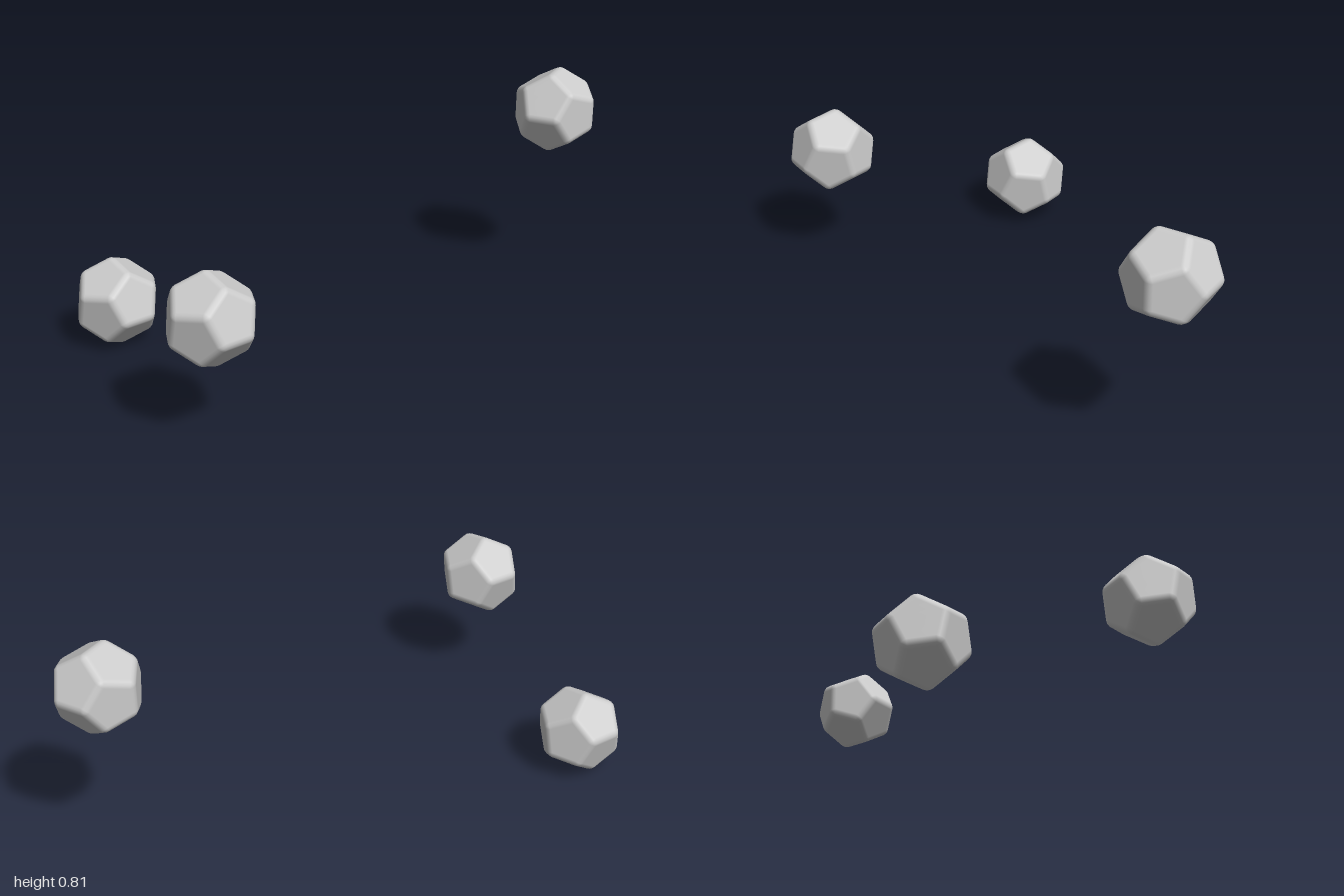
import * as THREE from 'three';
import { mergeVertices } from 'three/addons/utils/BufferGeometryUtils.js';

const PHI = (1 + Math.sqrt(5)) / 2;

// The three cyclic shifts of (0, ±a, ±b)
function cyclic(a, b) {
  const out = [];
  for (const s of [1, -1]) for (const t of [1, -1]) {
    const p = [0, s * a, t * b];
    for (let k = 0; k < 3; k++) out.push(new THREE.Vector3(p[k], p[(k + 1) % 3], p[(k + 2) % 3]));
  }
  return out;
}

// Dodecahedron with rounded edges: every point is a point on a smaller
// dodecahedron pushed out along the normal by the rounding radius.
function roundedDodecahedron(radius, round, segments) {
  const normals = cyclic(1, PHI).map(n => n.normalize());
  const corners = cyclic(PHI, 1 / PHI);
  for (const x of [1, -1]) for (const y of [1, -1]) for (const z of [1, -1]) corners.push(new THREE.Vector3(x, y, z));
  const inradius = 0.79465;
  const inner = radius - round / inradius;
  corners.forEach(c => c.setLength(inner));
  const onFace = (c, n) => c.dot(n) > inner * inradius * 0.98;

  const positions = [], norms = [];
  // Triangle of [corner, normal] pairs, subdivided with both interpolated
  function patch(a, b, c) {
    const pt = ([v, n]) => v.clone().addScaledVector(n, round);
    const face = pt(b).sub(pt(a)).cross(pt(c).sub(pt(a)));
    if (face.dot(a[1].clone().add(b[1]).add(c[1])) < 0) [b, c] = [c, b];
    const put = (i, j) => {
      const w = [1 - (i + j) / segments, i / segments, j / segments];
      const v = new THREE.Vector3(), n = new THREE.Vector3();
      [a, b, c].forEach((q, k) => { v.addScaledVector(q[0], w[k]); n.addScaledVector(q[1], w[k]); });
      n.normalize();
      v.addScaledVector(n, round);
      positions.push(v.x, v.y, v.z);
      norms.push(n.x, n.y, n.z);
    };
    for (let i = 0; i < segments; i++) for (let j = 0; j < segments - i; j++) {
      put(i, j); put(i + 1, j); put(i, j + 1);
      if (i + j < segments - 1) { put(i + 1, j); put(i + 1, j + 1); put(i, j + 1); }
    }
  }

  // Edges with the flat face wedges on both sides of them
  normals.forEach((n, i) => normals.slice(i + 1).forEach(m => {
    const shared = corners.filter(c => onFace(c, n) && onFace(c, m));
    if (shared.length !== 2) return;
    const [p, q] = shared;
    patch([p, n], [q, n], [q, m]);
    patch([p, n], [q, m], [p, m]);
    for (const f of [n, m]) patch([p, f], [q, f], [f.clone().multiplyScalar(inner * inradius), f]);
  }));
  // Rounded corners
  corners.forEach(c => {
    const [l, m, n] = normals.filter(f => onFace(c, f));
    patch([c, l], [c, m], [c, n]);
  });

  const geometry = new THREE.BufferGeometry();
  geometry.setAttribute('position', new THREE.Float32BufferAttribute(positions, 3));
  geometry.setAttribute('normal', new THREE.Float32BufferAttribute(norms, 3));
  return mergeVertices(geometry, 1e-5);
}

export function createModel() {
  const group = new THREE.Group();
  group.name = 'dodecahedrons';
  const material = new THREE.MeshStandardMaterial({ color: 0xcccccc });
  const geometry = roundedDodecahedron(0.166, 0.03, 3);

  function stone(name, position, rotation) {
    const mesh = new THREE.Mesh(geometry, material);
    mesh.name = name;
    mesh.position.set(...position);
    if (rotation) {
      mesh.rotation.set(...rotation);
      mesh.rotateX(Math.atan(1 / PHI)); // turn one flat face to the front first
    }
    group.add(mesh);
  }

  // Two stones with a face slightly turned from the front, one standing square
  const tilt = [0.122, 0.105, 0.75];
  stone('lowStone', [-0.585, 0.158, 0.405], tilt);
  stone('middleStone', [0.057, 0.424, 0.855], tilt);
  stone('highStone', [0.587, 0.662, -0.852]);
  return group;
}
